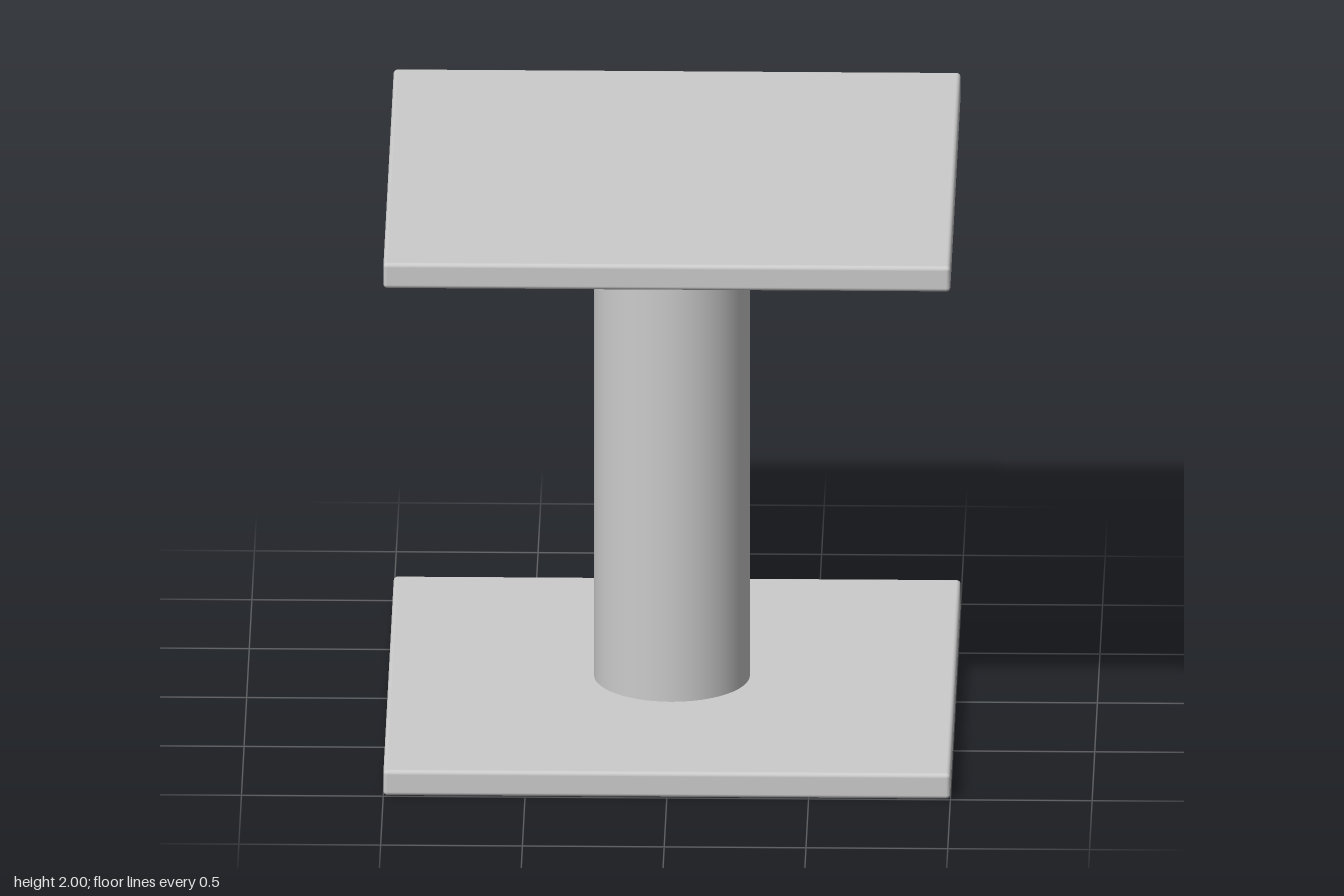
import * as THREE from 'three';
import { RoundedBoxGeometry } from 'three/addons/geometries/RoundedBoxGeometry.js';

const SIZE = 2;          // overall height and plate width
const THICKNESS = 0.095; // plate thickness
const BEVEL = 0.015;     // softened plate edges
const RADIUS = 0.275;    // column radius

export function createModel() {
  const group = new THREE.Group();
  group.name = 'pedestalTable';
  const material = new THREE.MeshStandardMaterial({ color: 0xcccccc });

  const add = (name, geometry, y) => {
    const mesh = new THREE.Mesh(geometry, material);
    mesh.name = name;
    mesh.position.y = y;
    group.add(mesh);
  };

  // Two matching square plates with rounded edges
  const plate = new RoundedBoxGeometry(SIZE, THICKNESS, SIZE, 3, BEVEL);
  add('base', plate, THICKNESS / 2);
  add('tableTop', plate, SIZE - THICKNESS / 2);

  // Round column running between the plates
  const height = SIZE - 2 * THICKNESS;
  add('column', new THREE.CylinderGeometry(RADIUS, RADIUS, height, 48, 1, true), SIZE / 2);

  return group;
}
